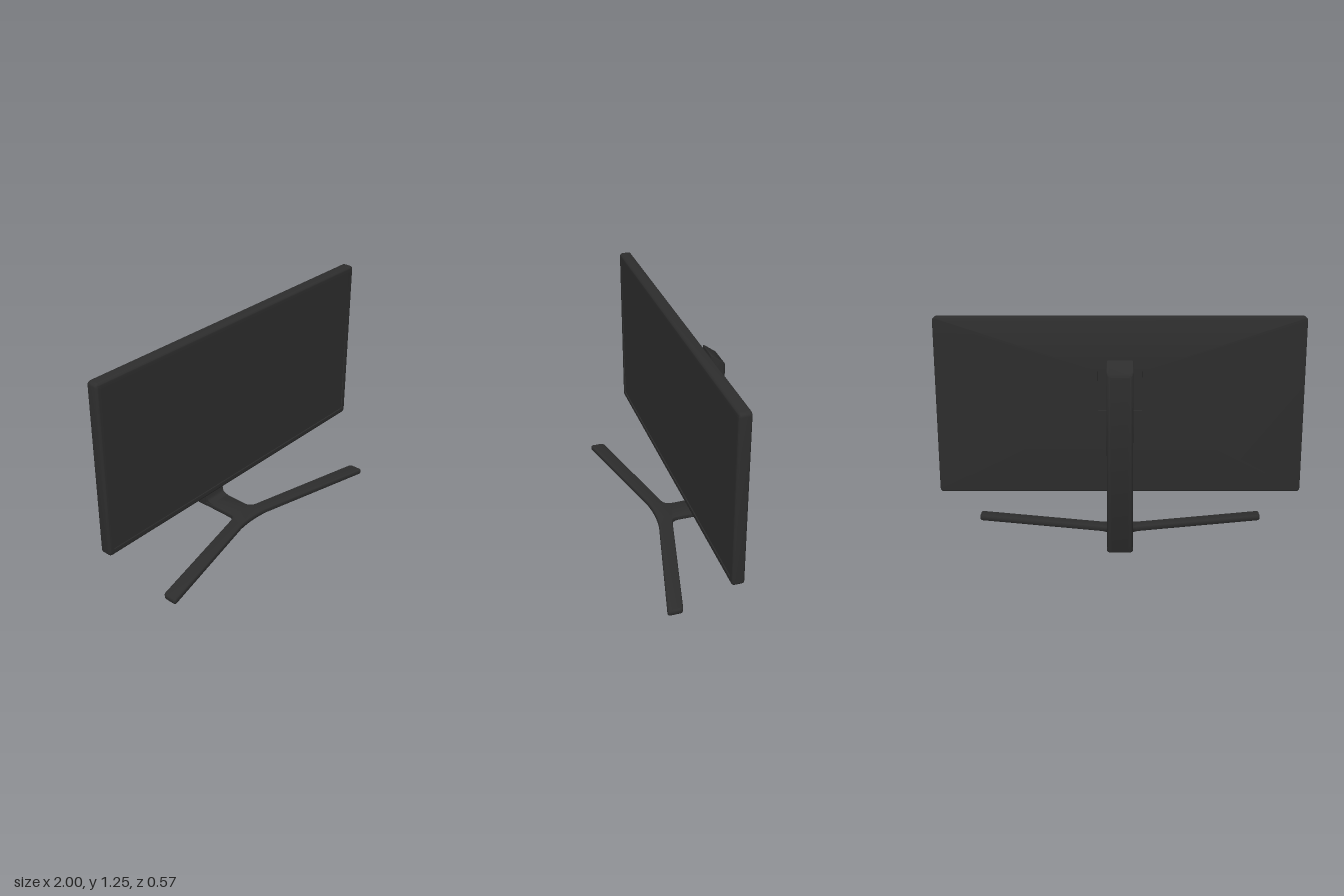
import * as THREE from 'three';
import { toCreasedNormals } from 'three/addons/utils/BufferGeometryUtils.js';

const black = new THREE.MeshStandardMaterial({ color: 0x2d2d2d });
black.name = 'matte black';

function part(name, geometry, parent) {
  const mesh = new THREE.Mesh(geometry, black);
  mesh.name = name;
  parent.add(mesh);
  return mesh;
}

// Rounded rectangle loop, counterclockwise, 4 * (steps + 1) points
function roundedLoop(hw, hh, r, cy, z, steps = 5) {
  const points = [];
  const corners = [[1, 1], [-1, 1], [-1, -1], [1, -1]];
  corners.forEach(([sx, sy], q) => {
    for (let i = 0; i <= steps; i++) {
      const a = (q + i / steps) * Math.PI / 2;
      points.push(sx * (hw - r) + r * Math.cos(a), cy + sy * (hh - r) + r * Math.sin(a), z);
    }
  });
  return points;
}

// Skin over equal-length loops, running from front to back
function loft(loops) {
  const n = loops[0].length / 3;
  const index = [];
  for (let l = 0; l < loops.length - 1; l++) {
    for (let i = 0; i < n; i++) {
      const j = (i + 1) % n;
      const a = l * n + i, b = l * n + j, c = a + n, d = b + n;
      index.push(a, c, d, a, d, b);
    }
  }
  const g = new THREE.BufferGeometry();
  g.setAttribute('position', new THREE.Float32BufferAttribute(loops.flat(), 3));
  g.setIndex(index);
  return toCreasedNormals(g, 0.6);
}

// Plan shape (x, -z) raised along y with a rounded edge
function raise(shape, height, bevel) {
  const g = new THREE.ExtrudeGeometry(shape, {
    depth: height - 2 * bevel, bevelThickness: bevel, bevelSize: bevel,
    bevelOffset: -bevel, bevelSegments: 4, curveSegments: 8,
  });
  return g.translate(0, 0, bevel).rotateX(-Math.PI / 2);
}

function createDisplay() {
  const display = new THREE.Group();
  display.name = 'display';
  const cy = 0.76, hh = 0.49, mountY = 0.845;
  const front = 0.01, back = -0.055, screenZ = 0.004, recessZ = -0.035;

  // Casing: raised bezel, rounded rim, flat back with a mount recess
  const loops = [
    roundedLoop(0.966, hh - 0.034, 0.002, cy, screenZ),
    roundedLoop(0.966, hh - 0.034, 0.002, cy, front),
  ];
  const rim = (r, z, sign) => {
    for (let i = 0; i <= 4; i++) {
      const a = (sign > 0 ? i : 4 - i) / 4 * Math.PI / 2;
      const inset = r * (1 - Math.sin(a));
      loops.push(roundedLoop(1 - inset, hh - inset, 0.02 - inset * 0.6, cy, z + sign * r * (Math.cos(a) - 1)));
    }
  };
  rim(0.014, front, 1);
  rim(0.01, back, -1);
  loops.push(
    roundedLoop(0.12, 0.11, 0.002, mountY, back),
    roundedLoop(0.12, 0.11, 0.002, mountY, recessZ),
  );
  part('casing', loft(loops), display);

  part('screen', new THREE.PlaneGeometry(1.932, 2 * hh - 0.068), display).position.set(0, cy, screenZ);
  const plate = part('mountPlate', new THREE.PlaneGeometry(0.24, 0.22), display);
  plate.position.set(0, mountY, recessZ);
  plate.rotation.y = Math.PI;
  return display;
}

function createStand() {
  const stand = new THREE.Group();
  stand.name = 'stand';

  // Arm between the display and the post
  part('mountArm', new THREE.BoxGeometry(0.1, 0.09, 0.18), stand).position.set(0, 0.845, -0.125);

  // Upright post, rounded at the back, with a slanted top
  const w = 0.07, zf = 0.2, zb = 0.285, r = 0.025;
  const plan = new THREE.Shape();
  plan.moveTo(-w + 0.006, zf);
  plan.lineTo(w - 0.006, zf);
  plan.quadraticCurveTo(w, zf, w, zf + 0.006);
  plan.lineTo(w, zb - r);
  plan.quadraticCurveTo(w, zb, w - r, zb);
  plan.lineTo(-w + r, zb);
  plan.quadraticCurveTo(-w, zb, -w, zb - r);
  plan.lineTo(-w, zf + 0.006);
  plan.quadraticCurveTo(-w, zf, -w + 0.006, zf);
  const post = raise(plan, 1.045, 0.006);
  const p = post.attributes.position;
  for (let i = 0; i < p.count; i++) {
    if (p.getY(i) > 0.5) {
      const t = Math.max(0, -p.getZ(i) - 0.204);
      p.setY(i, p.getY(i) - 0.74 * t - (t > 0.068 ? (t - 0.068) * 0.8 : 0));
    }
  }
  part('post', toCreasedNormals(post, 0.6), stand);

  // Curved gusset where the post meets the foot
  const fillet = new THREE.Shape();
  fillet.moveTo(-0.215, 0.015);
  fillet.lineTo(-0.14, 0.015);
  fillet.lineTo(-0.15, 0.031);
  fillet.quadraticCurveTo(-0.183, 0.035, -0.188, 0.045);
  fillet.quadraticCurveTo(-0.197, 0.065, -0.198, 0.145);
  fillet.lineTo(-0.215, 0.145);
  const gusset = new THREE.ExtrudeGeometry(fillet, { depth: 0.136, bevelEnabled: false, curveSegments: 6 });
  gusset.translate(0, 0, -0.068).rotateY(-Math.PI / 2);
  part('gusset', toCreasedNormals(gusset, 0.6), stand);

  // Y-shaped foot: a stem and two spread legs
  const foot = new THREE.Shape();
  foot.moveTo(-0.07, 0.27);
  foot.lineTo(-0.07, 0.02);
  foot.quadraticCurveTo(-0.07, -0.018, -0.11, -0.029);
  foot.lineTo(-0.805, -0.196);
  foot.quadraticCurveTo(-0.825, -0.2, -0.825, -0.22);
  foot.lineTo(-0.825, -0.268);
  foot.quadraticCurveTo(-0.825, -0.286, -0.805, -0.281);
  foot.lineTo(-0.11, -0.111);
  foot.quadraticCurveTo(0, -0.094, 0.11, -0.111);
  foot.lineTo(0.805, -0.281);
  foot.quadraticCurveTo(0.825, -0.286, 0.825, -0.268);
  foot.lineTo(0.825, -0.22);
  foot.quadraticCurveTo(0.825, -0.2, 0.805, -0.196);
  foot.lineTo(0.11, -0.029);
  foot.quadraticCurveTo(0.07, -0.018, 0.07, 0.02);
  foot.lineTo(0.07, 0.27);
  part('foot', toCreasedNormals(raise(foot, 0.032, 0.009), 0.6), stand);
  return stand;
}

export function createModel() {
  const model = new THREE.Group();
  model.name = 'monitor';
  model.add(createDisplay(), createStand());
  return model;
}
